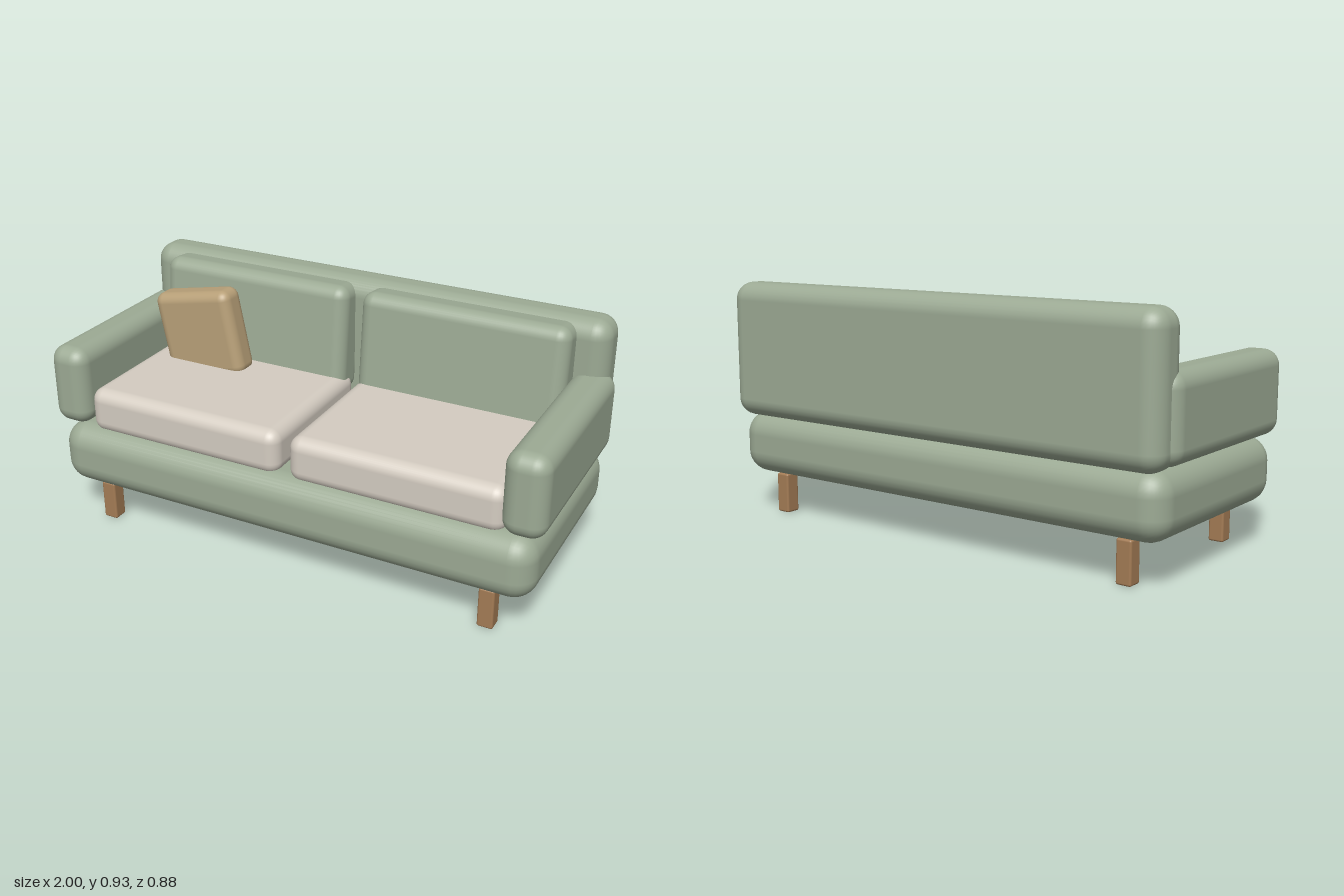
import * as THREE from 'three';
import { RoundedBoxGeometry } from 'three/addons/geometries/RoundedBoxGeometry.js';

const material = (name, color) => {
  const m = new THREE.MeshStandardMaterial({ color });
  m.name = name;
  return m;
};

export function createModel() {
  const sofa = new THREE.Group();
  sofa.name = 'sofa';

  const sage = material('sage fabric', 0x9caa94);
  const cream = material('cream fabric', 0xd4ccc1);
  const tan = material('tan fabric', 0xb8a078);
  const wood = material('wood', 0xa47c55);

  // Soft-edged box given by size, edge radius and centre
  const softBox = (name, mat, [w, h, d], radius, [x, y, z]) => {
    const mesh = new THREE.Mesh(new RoundedBoxGeometry(w, h, d, 4, radius), mat);
    mesh.name = name;
    mesh.position.set(x, y, z);
    sofa.add(mesh);
    return mesh;
  };

  // Frame
  softBox('base', sage, [1.95, 0.25, 0.85], 0.09, [0, 0.284, 0.0165]);
  softBox('backrest', sage, [1.95, 0.535, 0.175], 0.07, [0, 0.666, -0.352]);

  // Parts mirrored on both sides
  for (const [side, s] of [['left', 1], ['right', -1]]) {
    softBox(`${side}Arm`, sage, [0.16, 0.315, 0.80], 0.06, [s * 0.92, 0.572, 0.031]);
    softBox(`${side}SeatCushion`, cream, [0.83, 0.18, 0.64], 0.05, [s * 0.435, 0.475, 0.07]);

    // Back cushions lean slightly backwards
    const cushion = softBox(`${side}BackCushion`, sage, [0.825, 0.44, 0.16], 0.05, [s * 0.4425, 0.7, -0.237]);
    cushion.rotation.x = -0.1;

    softBox(`${side}FrontLeg`, wood, [0.06, 0.16, 0.06], 0.008, [s * 0.803, 0.08, 0.35]);
    softBox(`${side}BackLeg`, wood, [0.06, 0.16, 0.06], 0.008, [s * 0.803, 0.08, -0.315]);
  }

  // Throw pillow resting on one corner
  const pillow = softBox('throwPillow', tan, [0.35, 0.35, 0.12], 0.04, [-0.61, 0.683, -0.075]);
  pillow.rotation.z = 0.2;

  return sofa;
}
